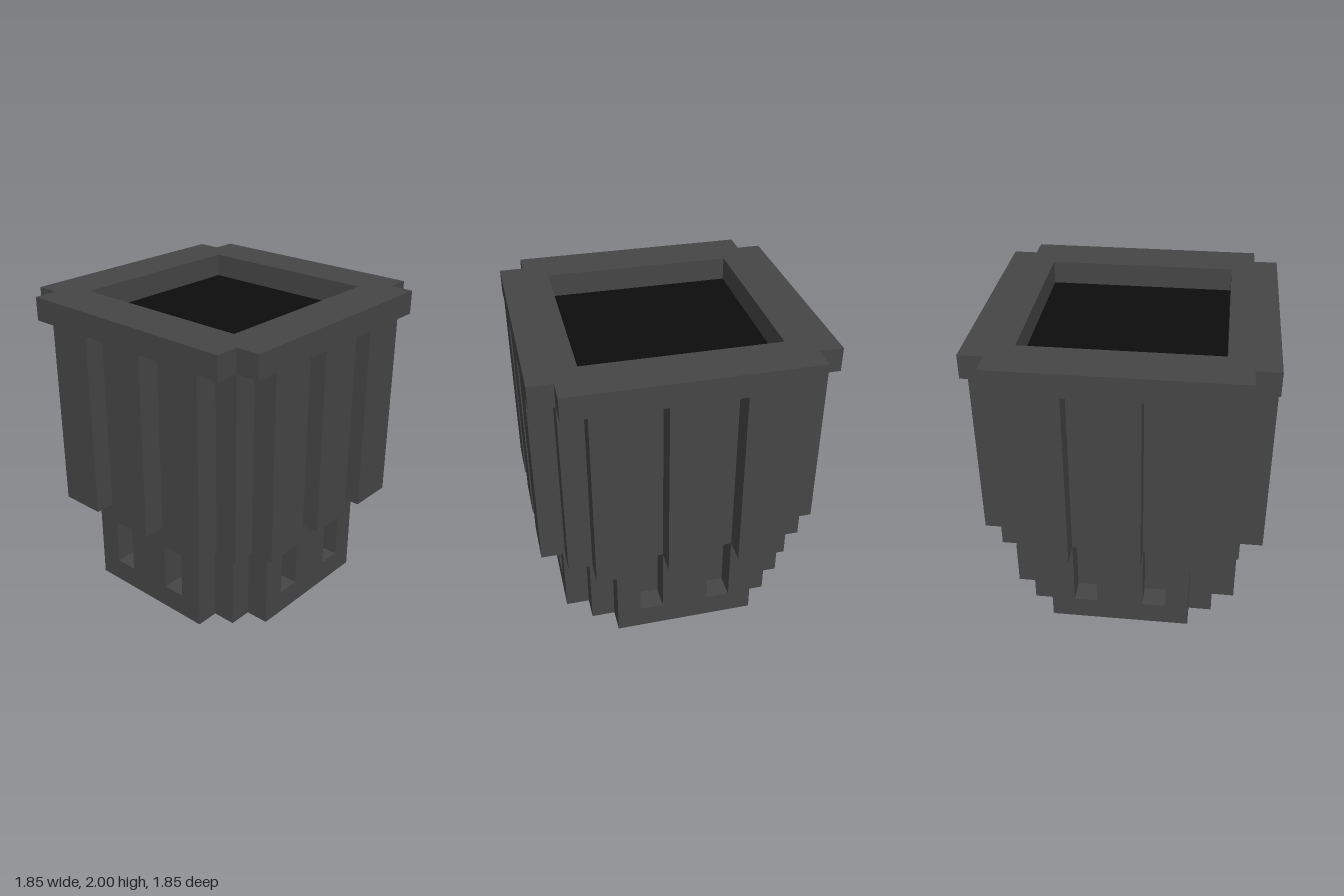
import * as THREE from 'three';

const U = 2 / 13; // block unit

// Square outline with stepped corners: half width r, flat side half length a,
// optionally two one-unit grooves in each side.
function outline(r, a, grooves) {
  const side = [[r, -a]];
  if (grooves) {
    for (const s of [-2, 1]) side.push([r, s], [r - 1, s], [r - 1, s + 1], [r, s + 1]);
  }
  side.push([r, a], [r - 1, a]);
  if (a < r - 1) side.push([r - 1, r - 1], [a, r - 1]);
  const pts = [];
  for (let i = 0; i < 4; i++) {
    for (const [x, y] of side) {
      const p = [[x, y], [-y, x], [-x, -y], [y, -x]][i];
      pts.push(new THREE.Vector2(p[0] * U, p[1] * U));
    }
  }
  return new THREE.Shape(pts);
}

// Square opening, half width h
function opening(h) {
  const s = h * U;
  return new THREE.Path([[-s, -s], [-s, s], [s, s], [s, -s]].map(p => new THREE.Vector2(...p)));
}

export function createModel() {
  const group = new THREE.Group();
  const stone = new THREE.MeshStandardMaterial({ color: 0x464646 });
  stone.name = 'dark grey';
  const black = new THREE.MeshStandardMaterial({ color: 0x0d0d0d });
  black.name = 'black';

  // Upright slab between two heights, in block units
  function slab(name, shape, y0, y1, hole) {
    if (hole) shape.holes.push(opening(hole));
    const geo = new THREE.ExtrudeGeometry(shape, { depth: (y1 - y0) * U, bevelEnabled: false });
    geo.rotateX(-Math.PI / 2);
    const mesh = new THREE.Mesh(geo, stone);
    mesh.name = name;
    mesh.position.y = y0 * U;
    group.add(mesh);
  }

  slab('base', outline(5, 3, false), 0, 1);
  slab('groovedFoot', outline(5, 3, true), 1, 4);
  slab('groovedBody', outline(6, 4, true), 4, 12, 4);
  slab('rim', outline(6, 5, false), 12, 13, 4);

  // Dark filling, one unit below the rim
  const filling = new THREE.Mesh(new THREE.BoxGeometry(8 * U, 8 * U, 8 * U), black);
  filling.name = 'filling';
  filling.position.y = 8 * U;
  group.add(filling);

  return group;
}
